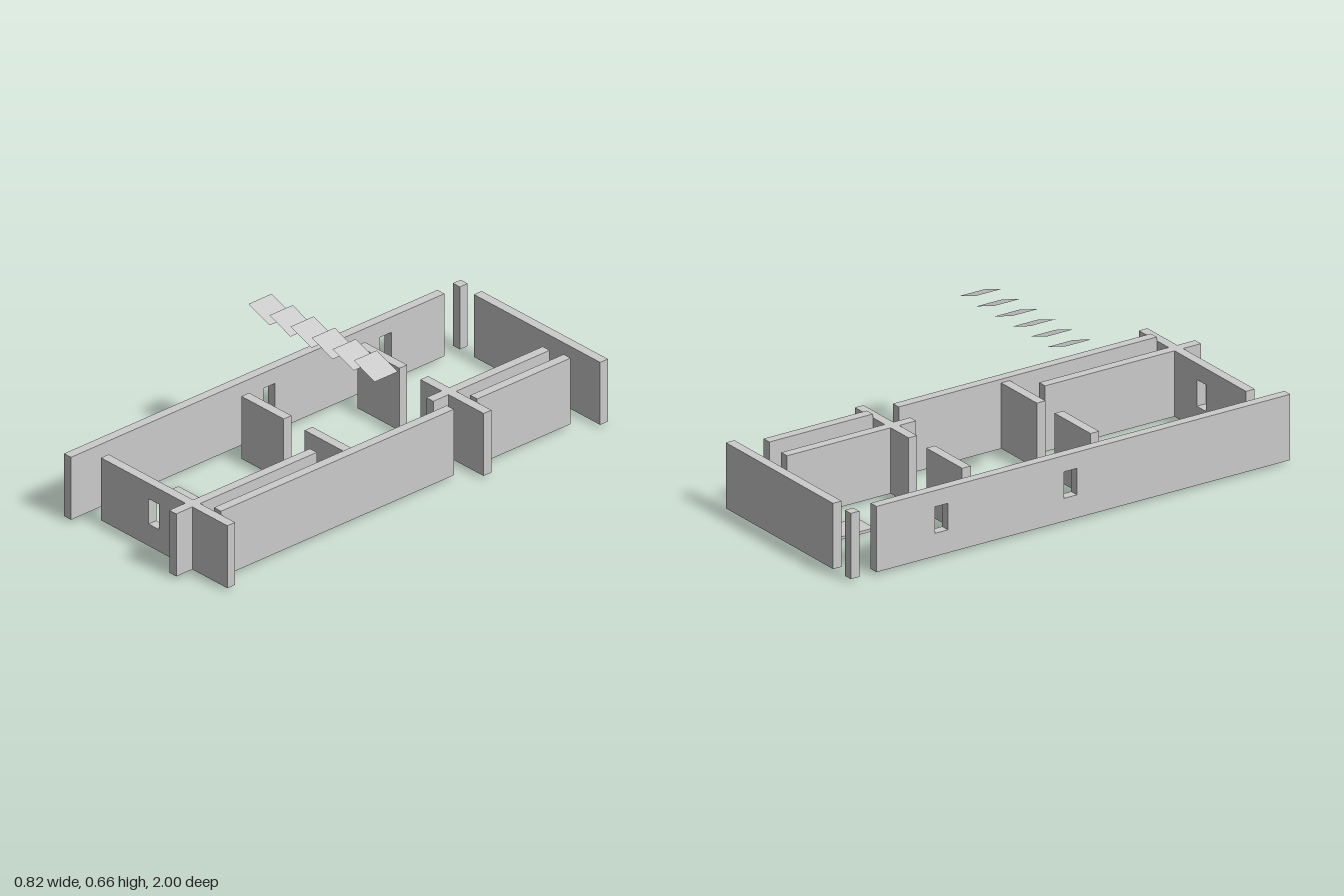
import * as THREE from 'three';

export function createModel() {
  const model = new THREE.Group();
  model.name = 'floorPlan';
  const grey = new THREE.MeshStandardMaterial({ color: 0xcccccc, flatShading: true });
  const thin = new THREE.MeshStandardMaterial({ color: 0xcccccc, flatShading: true, side: THREE.DoubleSide });
  const BASE = 0.0125, TOP = 0.28, TALL = 0.295, T = 0.039;

  const add = (name, geometry, material = grey) => {
    const mesh = new THREE.Mesh(geometry, material);
    mesh.name = name;
    model.add(mesh);
    return mesh;
  };

  // box given by its extents
  const block = (name, x0, x1, z0, z1, y0 = BASE, y1 = TOP) =>
    add(name, new THREE.BoxGeometry(x1 - x0, y1 - y0, z1 - z0))
      .position.set((x0 + x1) / 2, (y0 + y1) / 2, (z0 + z1) / 2);

  // wall in the XY plane, with window openings centred at the given positions
  const windowWall = (name, a0, a1, windows) => {
    const rect = (C, x0, x1, y0, y1) => new C([[x0, y0], [x1, y0], [x1, y1], [x0, y1]]
      .map(([x, y]) => new THREE.Vector2(x, y)));
    const shape = rect(THREE.Shape, a0, a1, BASE, TOP);
    for (const c of windows) shape.holes.push(rect(THREE.Path, c - 0.0295, c + 0.0295, 0.106, 0.214));
    return add(name, new THREE.ExtrudeGeometry(shape, { depth: T, bevelEnabled: false }));
  };

  // outer walls with windows
  windowWall('frontWall', -0.295, 0.411, [0]).position.z = 0.88;
  const side = windowWall('rightWall', -1, 0.883, [0, 0.587]);
  side.rotation.y = Math.PI / 2; // wall axis runs towards -z
  side.position.x = -0.412;

  // back wall and corner post
  block('backWall', -0.295, 0.411, -1, -0.961);
  block('cornerPost', -0.412, -0.373, -1, -0.961);

  // taller left walls
  block('leftWallBack', 0.293, 0.332, -0.883, -0.412, BASE, TALL);
  block('leftWallFront', 0.293, 0.332, -0.294, 0.88, BASE, TALL);

  // corridor walls
  block('corridorWallBack', 0.176, 0.215, -0.883, -0.296);
  block('corridorWallFront', 0.176, 0.215, 0.291, 1);

  // cross walls with a doorway between each pair
  block('crossWallBackRight', -0.295, -0.059, -0.412, -0.373);
  block('crossWallBackLeft', 0.058, 0.411, -0.412, -0.373);
  block('crossWallMiddleRight', -0.295, -0.059, 0.172, 0.211);
  block('crossWallMiddleLeft', 0.058, 0.293, 0.172, 0.211);

  // floor slabs
  block('floorSlabBack', -0.059, 0.057, -0.883, -0.649, 0.001, 0.0125);
  block('floorSlabFront', -0.295, -0.06, 0.528, 0.643, 0.001, 0.0125);

  // row of tilted roof slats
  const run = 0.1175, drop = 0.043;
  for (let i = 0; i < 6; i++) {
    const slat = new THREE.PlaneGeometry(Math.hypot(run, drop), 0.117);
    slat.rotateX(-Math.PI / 2).rotateZ(-Math.atan2(drop, run));
    add('roofSlat' + (i + 1), slat, thin).position.set(-0.295 + run * (i + 0.5), 0.6405, 0.117);
  }
  return model;
}
